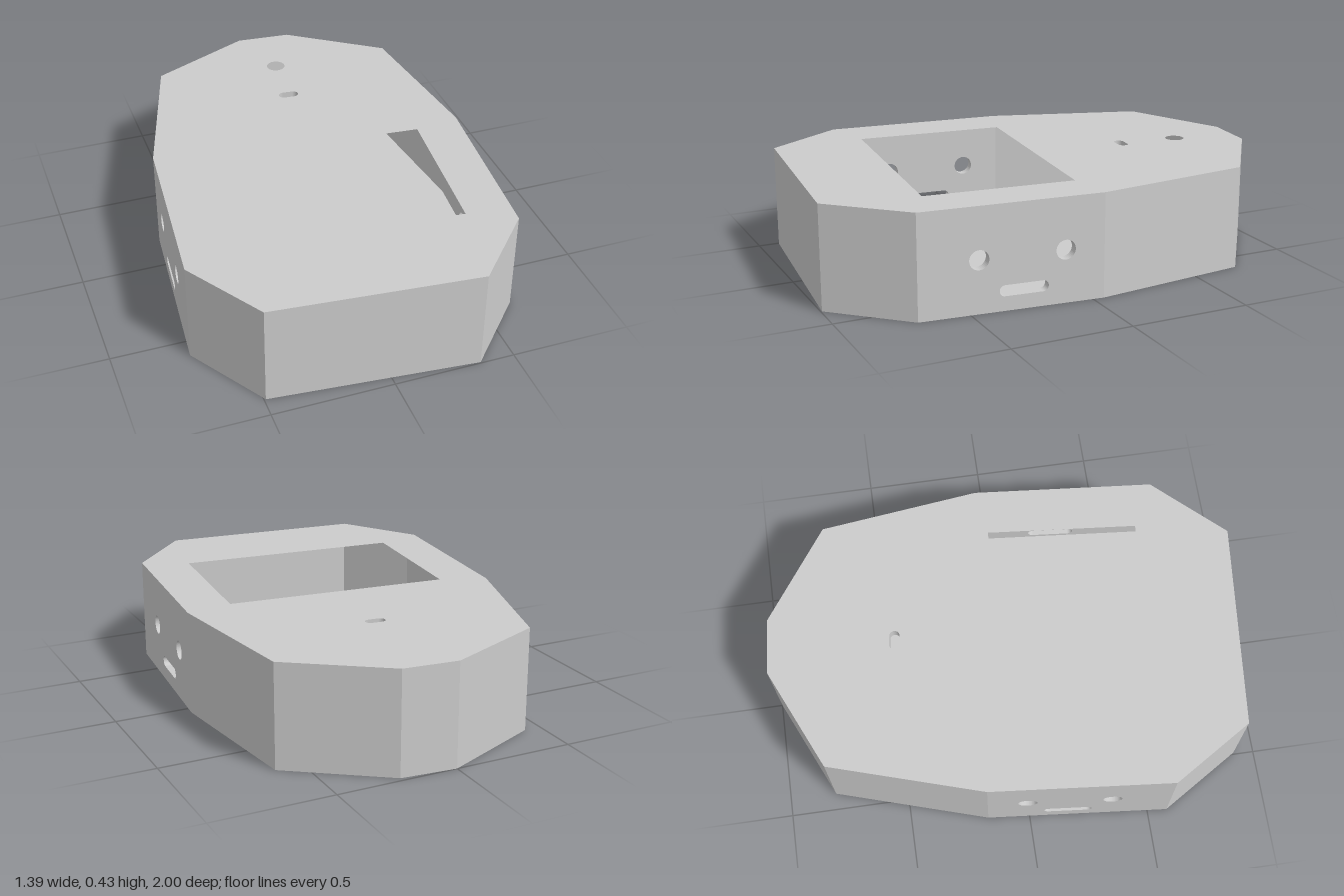
import * as THREE from 'three';

const HEIGHT = 0.43, SKIN = 0.045, WALL = 0.04;

// Outline of the case as [x, z], clockwise seen from above
const OUTLINE = [
  [0, -1], [0.23, -0.98], [0.613, -0.71], [0.692, -0.045], [0.625, 0.707],
  [0.36, 0.995], [-0.493, 0.915], [-0.698, 0.583], [-0.627, -0.175], [-0.43, -0.807],
];

const material = new THREE.MeshStandardMaterial({ color: 0xcccccc, flatShading: true });

const polygon = (pts) => new THREE.Shape(pts.map(([x, z]) => new THREE.Vector2(x, -z)));

function circle(x, y, r) {
  return new THREE.Path().absarc(x, y, r, 0, Math.PI * 2, true);
}

// Rounded slot centred on (x, y), turned by angle
function slot(x, y, length, width, angle = 0) {
  const r = width / 2, h = length / 2 - r;
  const dx = Math.cos(angle) * h, dy = Math.sin(angle) * h;
  const path = new THREE.Path();
  path.absarc(x + dx, y + dy, r, angle - Math.PI / 2, angle + Math.PI / 2, false);
  path.absarc(x - dx, y - dy, r, angle + Math.PI / 2, angle + Math.PI * 1.5, false);
  path.closePath();
  return path;
}

function extrude(shape, depth, name) {
  const geometry = new THREE.ExtrudeGeometry(shape, { depth, bevelEnabled: false, curveSegments: 20 });
  const mesh = new THREE.Mesh(geometry, material);
  mesh.name = name;
  return mesh;
}

// Horizontal plate following the outline
function plate(name, y, holes) {
  const shape = polygon(OUTLINE);
  shape.holes.push(...holes);
  const mesh = extrude(shape, SKIN, name);
  mesh.rotation.x = -Math.PI / 2;
  mesh.position.y = y;
  return mesh;
}

// Upright panel from a to b, thickened inward; ports are placed by their z
function wallPanel(a, b, name, portShift) {
  const dir = new THREE.Vector3(b[0] - a[0], 0, b[1] - a[1]);
  const length = dir.length();
  dir.normalize();
  const up = new THREE.Vector3(0, 1, 0);
  const shape = new THREE.Shape([
    new THREE.Vector2(0, SKIN), new THREE.Vector2(length, SKIN),
    new THREE.Vector2(length, HEIGHT - SKIN), new THREE.Vector2(0, HEIGHT - SKIN),
  ]);
  if (portShift !== undefined) {
    const along = (z) => ((z + portShift - a[1]) / (b[1] - a[1])) * length;
    shape.holes.push(
      circle(along(0.465), 0.217, 0.04),
      circle(along(0.115), 0.217, 0.04),
      slot(along(0.285), 0.082, 0.2, 0.045),
    );
  }
  const mesh = extrude(shape, WALL, name);
  const inward = new THREE.Vector3().crossVectors(dir, up);
  mesh.quaternion.setFromRotationMatrix(new THREE.Matrix4().makeBasis(dir, up, inward));
  mesh.position.set(a[0], 0, a[1]);
  return mesh;
}

export function createModel() {
  const model = new THREE.Group();
  model.name = 'case';

  // Floor with the strap slot near the back edge
  model.add(plate('floor', 0, [slot(0.096, 0.882, 0.26, 0.05, -0.09)]));

  // Lid with the tilted display window, a button hole and a small slot
  const windowHole = polygon([[-0.44, -0.1], [0.497, -0.015], [0.44, 0.61], [-0.498, 0.525]]);
  model.add(plate('lid', HEIGHT - SKIN, [
    windowHole,
    circle(0.09, 0.72, 0.04),
    slot(0.066, 0.465, 0.085, 0.042, -0.09),
  ]));

  // Side walls; the two long sides carry the ports
  const walls = new THREE.Group();
  walls.name = 'walls';
  const portShifts = { 3: 0, 7: -0.125 };
  const names = { 3: 'leftPortWall', 7: 'rightPortWall' };
  OUTLINE.forEach((a, i) => {
    const b = OUTLINE[(i + 1) % OUTLINE.length];
    walls.add(wallPanel(a, b, names[i] ?? `wall${i + 1}`, portShifts[i]));
  });
  model.add(walls);
  return model;
}
